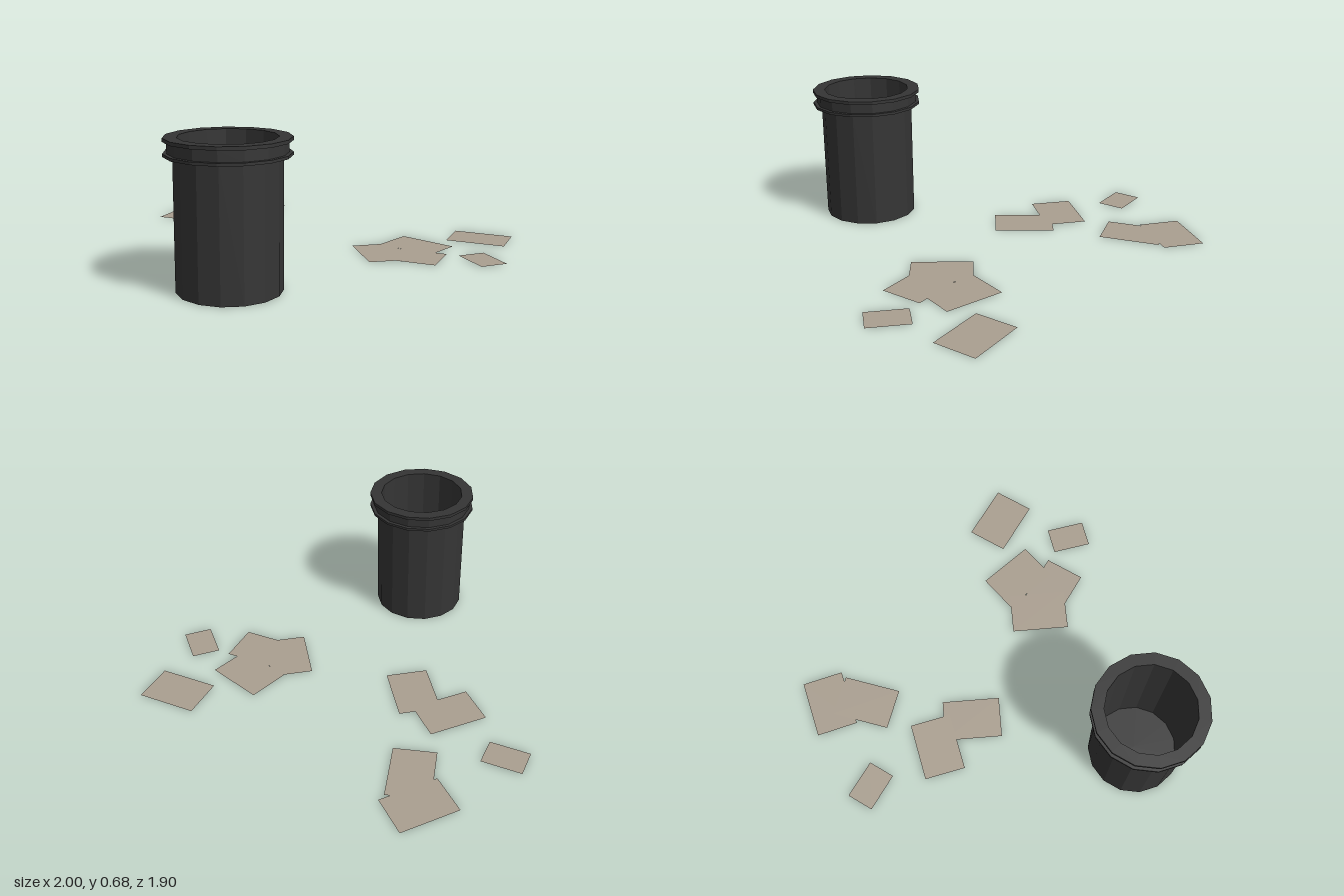
import * as THREE from 'three';

const binMaterial = new THREE.MeshStandardMaterial({ color: 0x353535, flatShading: true });
binMaterial.name = 'charcoal plastic';
const paperMaterial = new THREE.MeshStandardMaterial({ color: 0xaa9f90, side: THREE.DoubleSide });
paperMaterial.name = 'tan paper';

// Fifteen-sided bin: outer wall, two rim flanges with a recess, inner wall and floor
function makeBin() {
  const profile = [
    [0, 0], [0.238, 0], [0.238, 0.6], [0.28, 0.6], [0.28, 0.613], [0.262, 0.613],
    [0.262, 0.664], [0.28, 0.664], [0.28, 0.68], [0.219, 0.68], [0.219, 0.02], [0, 0.02],
  ].map(([r, y]) => new THREE.Vector2(r, y));
  const bin = new THREE.Mesh(new THREE.LatheGeometry(profile, 15), binMaterial);
  bin.name = 'wasteBin';
  bin.position.set(0.28, 0, 0.675);
  bin.rotation.y = Math.PI;
  return bin;
}

// Loose sheets on the floor: x, z, turn in degrees, length, width
const FULL = [0.302, 0.213];
const HALF = [0.204, 0.142];
const sheets = [
  [0.655, -0.805, 18, FULL],
  [0.873, -0.465, -27, HALF],
  [-0.882, -0.083, 18, HALF],
  [-0.765, -0.58, 67.5, FULL],
  [-0.615, -0.455, -56.6, FULL],
  [-0.487, -0.013, 65, FULL],
  [-0.251, -0.008, -36.8, FULL],
  [0.487, -0.466, 0, FULL],
  [0.434, -0.234, -36.5, FULL],
  [0.578, -0.286, 18, FULL],
];

function makePapers() {
  const papers = new THREE.Group();
  papers.name = 'scatteredPapers';
  sheets.forEach(([x, z, turn, [length, width]], i) => {
    const geometry = new THREE.PlaneGeometry(length, width).rotateX(-Math.PI / 2);
    const sheet = new THREE.Mesh(geometry, paperMaterial);
    sheet.name = `paperSheet${i + 1}`;
    // Slight height steps keep overlapping sheets apart
    sheet.position.set(x, 0.001 + (i % 3) * 0.001, z);
    sheet.rotation.y = THREE.MathUtils.degToRad(turn);
    papers.add(sheet);
  });
  return papers;
}

export function createModel() {
  const model = new THREE.Group();
  model.name = 'binWithPapers';
  model.add(makeBin(), makePapers());
  return model;
}
